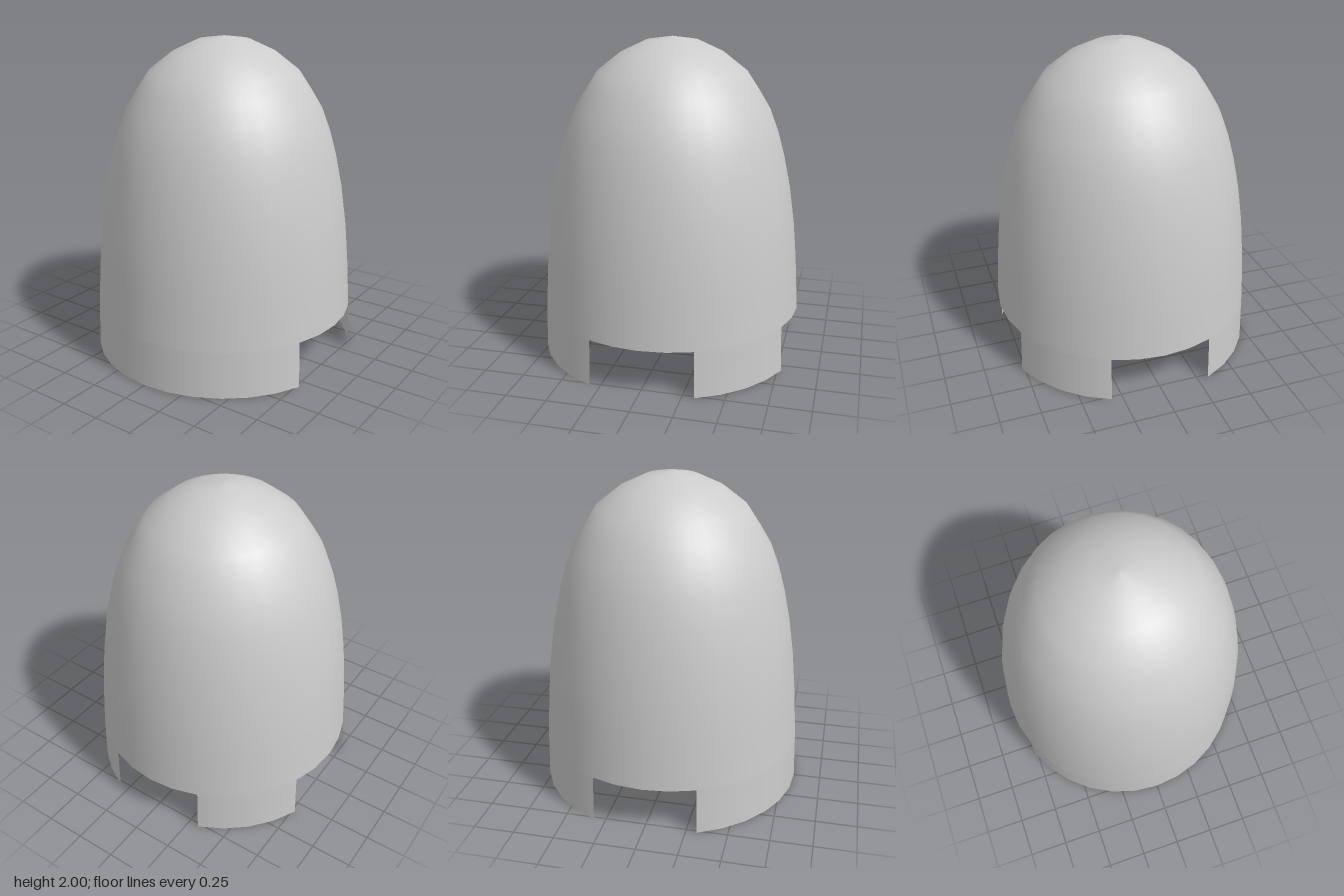
import * as THREE from 'three';

const SEGMENTS = 32;
const STEP = (Math.PI * 2) / SEGMENTS;

export function createModel() {
  const group = new THREE.Group();
  group.name = 'domeShell';
  const material = new THREE.MeshStandardMaterial({ color: 0xcccccc, side: THREE.DoubleSide });

  // Thin sheet turned around y, spanning a whole number of facets
  const addSheet = (name, profile, first, count) => {
    const points = profile.map(([r, y]) => new THREE.Vector2(r, y));
    const geometry = new THREE.LatheGeometry(points, count, first * STEP, count * STEP);
    const mesh = new THREE.Mesh(geometry, material);
    mesh.name = name;
    mesh.position.z = -0.004;
    group.add(mesh);
  };

  // Closed dome above the notches
  addSheet('dome', [
    [0.825, 0.29], [0.807, 0.58], [0.785, 0.82], [0.75, 1.06], [0.709, 1.255],
    [0.667, 1.407], [0.612, 1.555], [0.54, 1.675], [0.464, 1.79],
    [0.32, 1.903], [0.161, 1.977], [0, 2],
  ], 0, SEGMENTS);

  // Skirt panels, leaving four-facet notches at the back and both sides
  const skirt = [[0.833, 0], [0.825, 0.29]];
  addSheet('frontSkirt', skirt, -6, 12);
  addSheet('backLeftTab', skirt, 10, 4);
  addSheet('backRightTab', skirt, 18, 4);

  return group;
}
